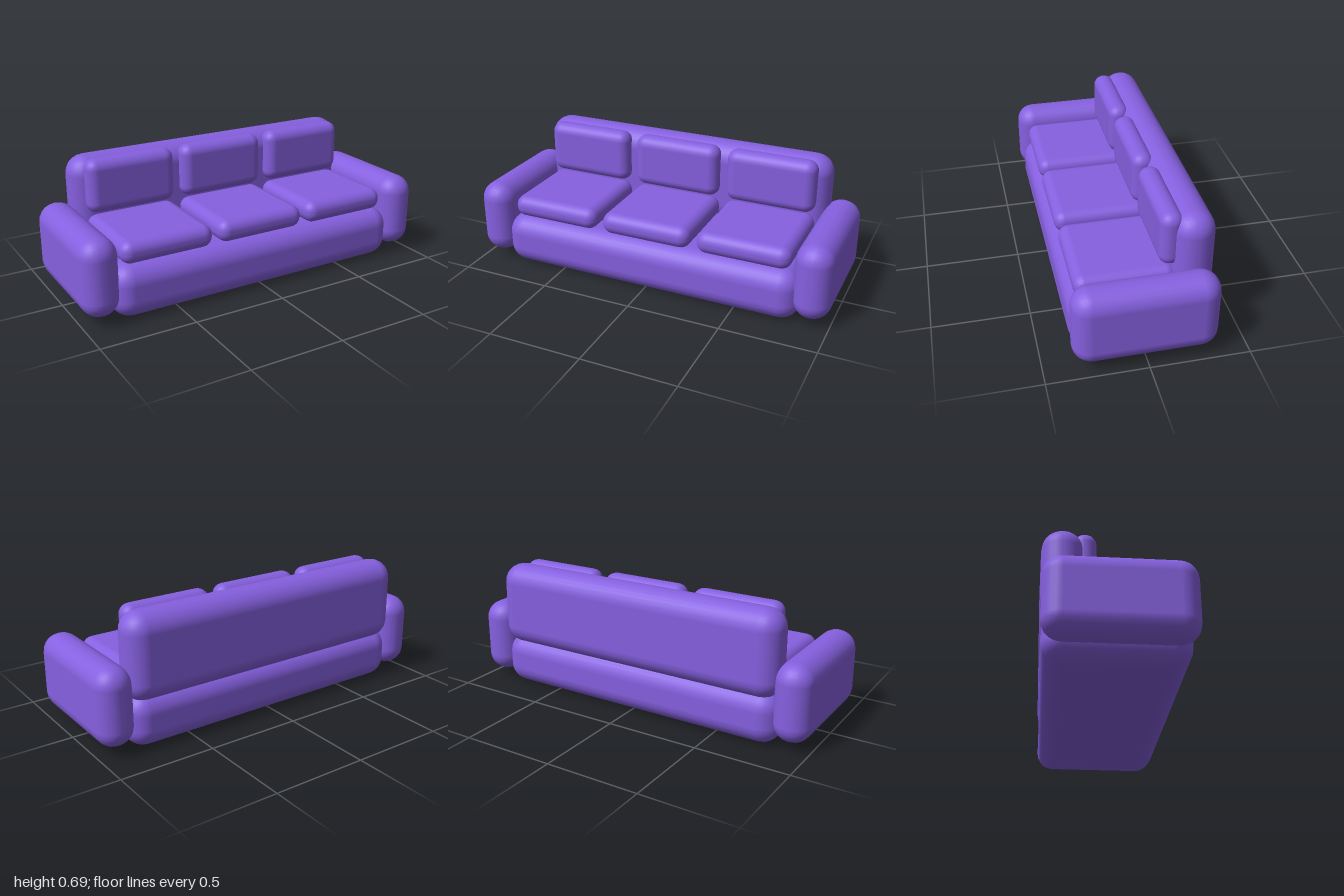
import * as THREE from 'three';
import { RoundedBoxGeometry } from 'three/addons/geometries/RoundedBoxGeometry.js';

export function createModel() {
  const sofa = new THREE.Group();
  sofa.name = 'sofa';
  const fabric = new THREE.MeshStandardMaterial({ color: 0x8660e0 });
  fabric.name = 'purple fabric';

  // Soft padded block given by its extents on each axis
  function pad(name, [x0, x1], [y0, y1], [z0, z1], radius) {
    const geometry = new RoundedBoxGeometry(x1 - x0, y1 - y0, z1 - z0, 3, radius);
    const mesh = new THREE.Mesh(geometry, fabric);
    mesh.name = name;
    mesh.position.set((x0 + x1) / 2, (y0 + y1) / 2, (z0 + z1) / 2);
    sofa.add(mesh);
  }

  // Base and backrest
  pad('base', [-0.84, 0.84], [0, 0.28], [-0.35, 0.35], 0.1);
  pad('backrest', [-0.84, 0.84], [0.24, 0.69], [-0.361, -0.156], 0.1);

  // Armrests
  pad('leftArm', [0.805, 1], [0.043, 0.449], [-0.353, 0.361], 0.095);
  pad('rightArm', [-1, -0.805], [0.043, 0.449], [-0.353, 0.361], 0.095);

  // Three seat cushions, each with a back cushion
  ['right', 'middle', 'left'].forEach((side, i) => {
    const x = (i - 1) * 0.537;
    pad(side + 'SeatCushion', [x - 0.25, x + 0.25], [0.278, 0.396], [-0.185, 0.317], 0.055);
    pad(side + 'BackCushion', [x - 0.245, x + 0.245], [0.404, 0.691], [-0.21, -0.095], 0.055);
  });

  return sofa;
}
